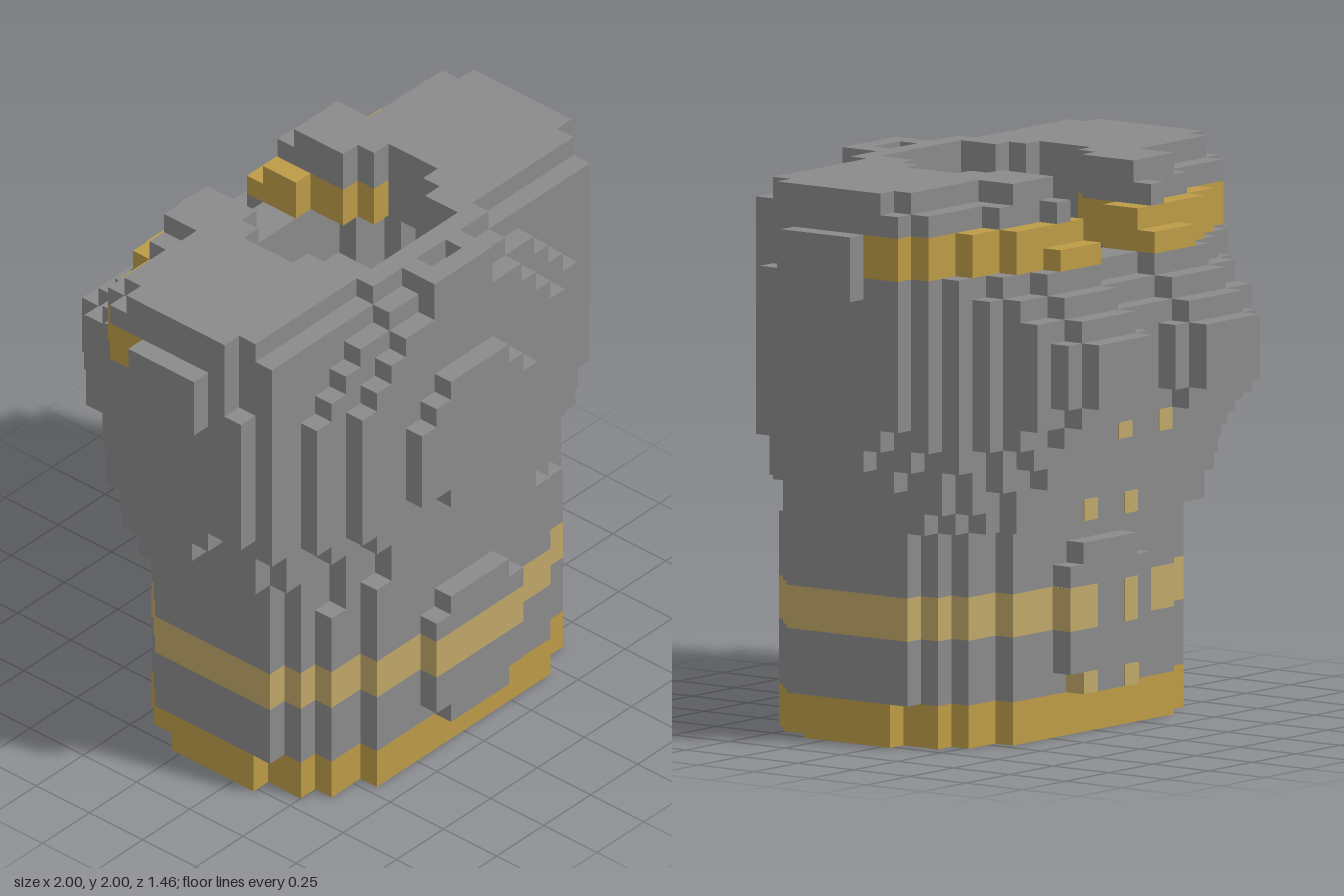
import * as THREE from 'three';
import { mergeGeometries } from 'three/addons/utils/BufferGeometryUtils.js';

const U = 1 / 13;        // one block
const Z0 = -9.5;         // back of row 0, in blocks

const flat = (name, color) => {
  const m = new THREE.MeshStandardMaterial({ color });
  m.name = name;
  return m;
};
const rep = (v, n) => Array(n).fill(v);

// Box given by its corners, in blocks
function block(x0, x1, y0, y1, z0, z1) {
  const g = new THREE.BoxGeometry((x1 - x0) * U, (y1 - y0) * U, (z1 - z0) * U);
  g.translate((x0 + x1) * U / 2, (y0 + y1) * U / 2, (z0 + z1) * U / 2);
  return g;
}

// Stepped slice: each row of depth runs from an inner to an outer half width, mirrored in x
function slice(y0, y1, row, outer, innerRow, inner) {
  const halves = [1, -1].map((s) => {
    const out = [], back = [];
    outer.forEach((b, i) => {
      const z = Z0 + row + i;
      const a = inner[row + i - innerRow] ?? 0;
      out.push([b, z], [b, z + 1]);
      back.push([a, z], [a, z + 1]);
    });
    const pts = [...out, ...back.reverse()]
      .map(([x, z]) => new THREE.Vector2(s * x * U, z * U))
      .filter((p, i, all) => i === 0 || p.distanceTo(all[i - 1]) > 1e-6);
    const g = new THREE.ExtrudeGeometry(new THREE.Shape(pts), { depth: (y1 - y0) * U, bevelEnabled: false });
    g.rotateX(Math.PI / 2);
    g.translate(0, y1 * U, 0);
    return g;
  });
  return mergeGeometries(halves);
}

export function createModel() {
  const model = new THREE.Group();
  model.name = 'torsoArmour';
  const grey = flat('grey plate', 0x8a8a8a);
  const gold = flat('gold trim', 0xbc9b47);
  const tan = flat('tan belt', 0xbfa768);

  const add = (name, material, ...geos) => {
    const parts = geos.map((g) => (g.index ? g.toNonIndexed() : g));
    const mesh = new THREE.Mesh(mergeGeometries(parts), material);
    mesh.name = name;
    model.add(mesh);
  };

  // Hollow inside of the body, and the narrower neck opening
  const cavity = [5, 7, ...rep(8, 7), 6, 4];
  const neck = [3, 3, 4, 5, 5, 5, 4, 3, 3];
  const body = (y0, y1, row, outer) => slice(y0, y1, row, outer, 6, cavity);

  // Waist, belt and hem
  const waist = [6, 8, 9, ...rep(10, 7), 9, 8, 6];
  add('hem', gold, body(0, 2, 5, [6, 8, 9, 9, ...rep(10, 5), 9, 9, 8, 6]));
  add('waist', grey,
    body(2, 5, 5, waist),
    body(7, 10, 5, waist),
    body(10, 11, 4, [7, 8, 9, ...rep(10, 8), 9, 7, 6]),
    body(11, 12, 4, [7, 9, ...rep(10, 9), 9, 7, 5]));
  add('belt', tan, body(5, 7, 5, waist));

  // Chest, widening upwards, with a notch at the back of the neckline
  add('chest', grey,
    body(12, 13, 3, [6, 8, 9, 10, 10, ...rep(11, 7), 10, 7, 5]),
    body(13, 14, 3, [7, 8, 10, 10, 11, 11, 12, 12, 12, 11, 11, 11, 10, 8, 6]),
    body(14, 15, 2, [6, 8, 9, 10, 11, 11, ...rep(12, 5), 11, 11, 11, 9, 7]),
    body(15, 20, 2, [8, 8, 9, 10, 11, ...rep(12, 8), 11, 9, 7]),
    slice(20, 21, 2, [6, 8, 9, 10, 11, ...rep(12, 8), 11, 9, 7], 2, [2, 0, 0, 0, ...cavity]),
    slice(21, 22, 3, [6, 8, 10, 11, ...rep(12, 8), 11, 8, 6], 3, [2, 0, 0, ...cavity]));

  // Gold band around the rear half of the shoulders
  add('shoulderBand', gold,
    slice(22, 23, 3, [5, 7, 9, 11, 12, 12], 3, [2, 2, 2, 3, 3, 4]),
    slice(23, 24, 4, [7, 9, 11, 12, 12], 4, [2, 2, 3, 3, 4]));

  // Shoulders and front collar with its small slot
  add('shoulders', grey,
    slice(22, 23, 9, [...rep(12, 5), 11, 11, 7, 5], 6, neck),
    slice(23, 24, 9, [...rep(12, 5), 11, 11, 6, 4], 6, neck),
    slice(24, 25, 4, [4, 7, 11, ...rep(12, 7), 11, 11, 4, 2], 4, [3, 3, ...neck]),
    slice(25, 26, 5, [6, 6, 11, ...rep(12, 6), 11, 4, 2, 2], 5, [3, ...neck, 0, 1]));

  // Arm sockets and rear chest pads, mirrored
  for (const s of [1, -1]) {
    const side = s > 0 ? 'left' : 'right';
    const mir = (a, b, ...r) => (s > 0 ? block(a, b, ...r) : block(-b, -a, ...r));
    add(side + 'ArmSocket', grey, mir(12, 13, 21, 24, -0.5, 3.5));
    add(side + 'ChestPad', grey,
      mir(1, 7, 16, 19, -8.5, -7.5),
      mir(2, 6, 15, 20, -8.5, -7.5),
      mir(2, 6, 16, 19, -9.5, -8.5));
    // Thin tan marks down the back
    const e = 0.05;
    add(side + 'BackMarks', tan,
      mir(1, 2 + e, 2, 3, -5.5 - e, -4.5),
      mir(1, s > 0 ? 3 + e : 2, 5, 7, -5.5 - e, s > 0 ? -4.5 : -5.5),
      mir(1, 2, 10, 11, -5.5 - e, -5.5),
      mir(1, 2, 14, 15, -7.5 - e, -7.5));
  }

  // Round front emblem plate, blank
  add('chestDisc', grey, ...[[14, 15, 2], [15, 19, 4], [19, 20, 3], [20, 21, 2]]
    .map(([a, b, w]) => block(-w, w, a, b, 8.5, 9.5)));

  // Belly and back panels
  const panel = (z, rows) => rows.map(([a, b, w]) => block(-w, w, a, b, z, z + 1));
  add('bellyPanel', grey, ...panel(8.5, [[2, 3, 2], [3, 5, 3], [7, 8, 3], [8, 9, 2]]));
  add('bellyPanelBelt', tan, ...panel(8.5, [[5, 7, 3]]));
  add('backPanel', grey, ...panel(-5.5, [[2, 3, 2], [3, 8, 3], [8, 9, 2]]));

  return model;
}
